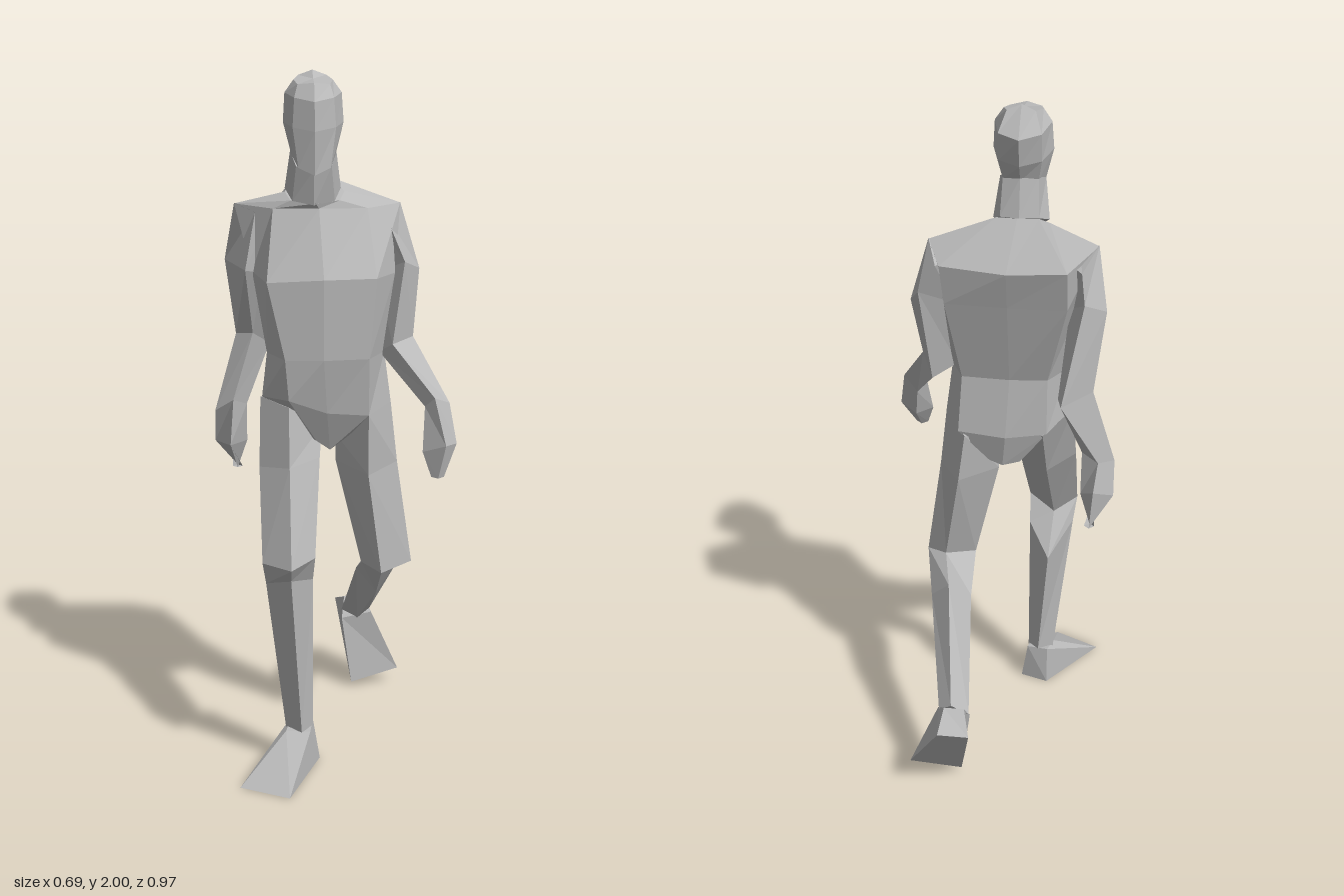
import * as THREE from 'three';

const grey = new THREE.MeshStandardMaterial({ color: 0xb8b8b8 });
grey.name = 'plain grey';

// Skin a run of cross-sections into a closed, faceted solid
function loft(name, rings) {
  const tris = [];
  const n = rings[0].length;
  for (let i = 0; i < rings.length - 1; i++) {
    for (let j = 0; j < n; j++) {
      const k = (j + 1) % n;
      const a = rings[i][j], b = rings[i][k], c = rings[i + 1][k], d = rings[i + 1][j];
      tris.push([a, b, c], [a, c, d]);
    }
  }
  const cap = (ring, flip) => {
    const mid = [0, 1, 2].map((m) => ring.reduce((s, p) => s + p[m], 0) / n);
    ring.forEach((p, j) => {
      const q = ring[(j + 1) % n];
      tris.push(flip ? [mid, q, p] : [mid, p, q]);
    });
  };
  cap(rings[0], true);
  cap(rings[rings.length - 1], false);

  // Turn the faces outward if the enclosed volume is negative
  const v = (p) => new THREE.Vector3(...p);
  const origin = v(rings[0][0]);
  let volume = 0;
  for (const [a, b, c] of tris) {
    volume += v(a).sub(origin).dot(v(b).sub(origin).cross(v(c).sub(origin)));
  }
  if (volume < 0) tris.forEach((t) => t.reverse());

  const geo = new THREE.BufferGeometry();
  geo.setAttribute('position', new THREE.Float32BufferAttribute(tris.flat(2), 3));
  geo.computeVertexNormals();
  const mesh = new THREE.Mesh(geo, grey);
  mesh.name = name;
  return mesh;
}

// Full ring from half a ring, mirrored about the head's centre line
function mirrorRing(half) {
  const cx = -0.055;
  const left = half.map(([x, y, z]) => [cx + x, y, z]);
  const right = half.slice(1, -1).reverse().map(([x, y, z]) => [cx - x, y, z]);
  return [...left, ...right];
}

// Small diamond ring used for finger tips
const tip = (x, y, z, r) => [[x, y, z + r], [x + r, y, z], [x, y, z - r], [x - r, y, z]];

export function createModel() {
  const group = new THREE.Group();
  group.name = 'walkingFigure';

  // Torso rings run: front, left front, left, left back, back, right back, right, right front
  const waist = [[-.03, 1.2, .2], [.1, 1.2, .18], [.15, 1.2, .07], [.11, 1.2, -.02],
    [-.03, 1.2, -.03], [-.14, 1.2, -.02], [-.19, 1.2, .07], [-.14, 1.2, .19]];
  group.add(loft('hips', [
    [[-.01, .92, .12], [.03, .95, .12], [.05, .95, .05], [.03, .93, -.02],
      [-.01, .92, -.03], [-.06, .93, -.02], [-.08, .95, .06], [-.05, .95, .13]],
    [[-.02, 1.04, .17], [.1, 1.03, .16], [.17, 1.05, .07], [.12, 1.03, -.04],
      [-.02, 1.02, -.05], [-.14, 1.03, -.03], [-.205, 1.07, .07], [-.13, 1.08, .18]],
    waist,
  ]));
  group.add(loft('chest', [
    waist,
    [[-.03, 1.43, .205], [.12, 1.43, .18], [.18, 1.43, .07], [.15, 1.45, -.08],
      [-.03, 1.45, -.09], [-.2, 1.45, -.09], [-.23, 1.43, .03], [-.19, 1.42, .18]],
    [[-.04, 1.62, .115], [.1, 1.615, .07], [.2, 1.62, -.02], [.16, 1.57, -.1],
      [-.03, 1.56, -.12], [-.2, 1.57, -.12], [-.28, 1.62, -.02], [-.17, 1.615, .07]],
    [[-.05, 1.635, .125], [.02, 1.64, .09], [.035, 1.66, .04], [.01, 1.69, -.015],
      [-.05, 1.69, -.02], [-.11, 1.69, -.015], [-.135, 1.66, .04], [-.12, 1.64, .09]],
  ]));

  // Neck and head: half rings from front to back
  group.add(loft('neck', [
    [[0, 1.63, .125], [.06, 1.64, .1], [.08, 1.67, .04], [.055, 1.69, -.01], [0, 1.69, -.02]],
    [[0, 1.73, .14], [.05, 1.74, .13], [.065, 1.78, .08], [.05, 1.8, .02], [0, 1.8, 0]],
  ].map(mirrorRing)));
  group.add(loft('head', [
    [[0, 1.72, .195], [.045, 1.74, .18], [.062, 1.77, .1], [.05, 1.79, .02], [0, 1.79, .005]],
    [[0, 1.84, .205], [.06, 1.85, .17], [.085, 1.86, .09], [.06, 1.85, 0], [0, 1.84, -.025]],
    [[0, 1.92, .2], [.055, 1.93, .165], [.08, 1.94, .08], [.06, 1.93, -.015], [0, 1.92, -.045]],
    [[0, 1.97, .165], [.045, 1.965, .14], [.055, 1.975, .08], [.04, 1.985, .02], [0, 2, .03]],
  ].map(mirrorRing)));

  // Limb rings run: front, outer, back, inner
  group.add(loft('leftArm', [
    [[.15, 1.6, .03], [.2, 1.622, -.02], [.17, 1.57, -.1], [.12, 1.58, -.03]],
    [[.205, 1.465, .1], [.257, 1.43, -.01], [.22, 1.49, -.1], [.13, 1.42, 0]],
    [[.17, 1.23, .12], [.235, 1.24, .05], [.2, 1.18, 0], [.135, 1.2, .07]],
    [[.28, 1.1, .25], [.325, 1.08, .22], [.28, 1.04, .19], [.255, 1.07, .22]],
  ]));
  group.add(loft('leftHand', [
    [[.28, 1.1, .25], [.325, 1.08, .22], [.28, 1.04, .19], [.255, 1.07, .22]],
    [[.305, .98, .325], [.343, .97, .255], [.29, .95, .22], [.245, .95, .27]],
    tip(.285, .885, .3, .018),
  ]));
  group.add(loft('rightArm', [
    [[-.22, 1.6, .03], [-.28, 1.622, -.02], [-.24, 1.57, -.11], [-.18, 1.58, -.03]],
    [[-.25, 1.44, .08], [-.31, 1.45, -.08], [-.25, 1.48, -.12], [-.2, 1.42, 0]],
    [[-.23, 1.23, -.07], [-.28, 1.22, -.12], [-.195, 1.2, -.195], [-.18, 1.19, -.12]],
    [[-.29, 1.03, -.055], [-.345, .99, -.09], [-.3, 1, -.135], [-.25, 1.01, -.09]],
  ]));
  group.add(loft('rightHand', [
    [[-.29, 1.03, -.055], [-.345, .99, -.09], [-.3, 1, -.135], [-.25, 1.01, -.09]],
    [[-.3, .89, -.055], [-.346, .89, -.12], [-.29, .92, -.17], [-.25, .89, -.12]],
    tip(-.28, .8, -.15, .015),
  ]));

  group.add(loft('leftLeg', [
    [[.1, 1.03, .16], [.17, 1.05, .07], [.1, 1.02, -.05], [.01, .95, .06]],
    [[.1, .85, .155], [.19, .87, .07], [.12, .87, -.05], [.01, .87, .05]],
    [[.14, .548, .145], [.235, .56, .07], [.17, .58, .01], [.085, .56, .07]],
    [[.14, .42, -.05], [.2, .49, -.09], [.14, .555, -.135], [.08, .49, -.08]],
    [[.1, .23, -.335], [.14, .255, -.355], [.1, .29, -.38], [.05, .25, -.36]],
  ]));
  group.add(loft('rightLeg', [
    [[-.13, 1.06, .18], [-.21, 1.07, .07], [-.13, 1.03, -.04], [-.03, .98, .06]],
    [[-.13, .9, .25], [-.215, .88, .15], [-.13, .84, .1], [-.04, .9, .13]],
    [[-.13, .645, .4], [-.21, .64, .31], [-.14, .61, .26], [-.06, .65, .3]],
    [[-.13, .6, .355], [-.2, .57, .28], [-.13, .48, .18], [-.065, .57, .25]],
    [[-.1, .11, .285], [-.145, .11, .24], [-.1, .12, .2], [-.065, .11, .24]],
  ]));

  // Feet: wedges from the ankle down to the sole
  group.add(loft('leftFoot', [
    [[.05, .23, -.335], [.145, .25, -.335], [.12, .285, -.385], [.06, .285, -.385]],
    [[.08, .015, -.315], [.233, .05, -.345], [.125, .26, -.487], [.035, .25, -.475]],
  ]));
  group.add(loft('rightFoot', [
    [[-.145, .11, .27], [-.075, .11, .28], [-.065, .12, .21], [-.13, .12, .2]],
    [[-.28, 0, .41], [-.14, 0, .485], [-.045, 0, .22], [-.13, 0, .19]],
  ]));

  return group;
}
